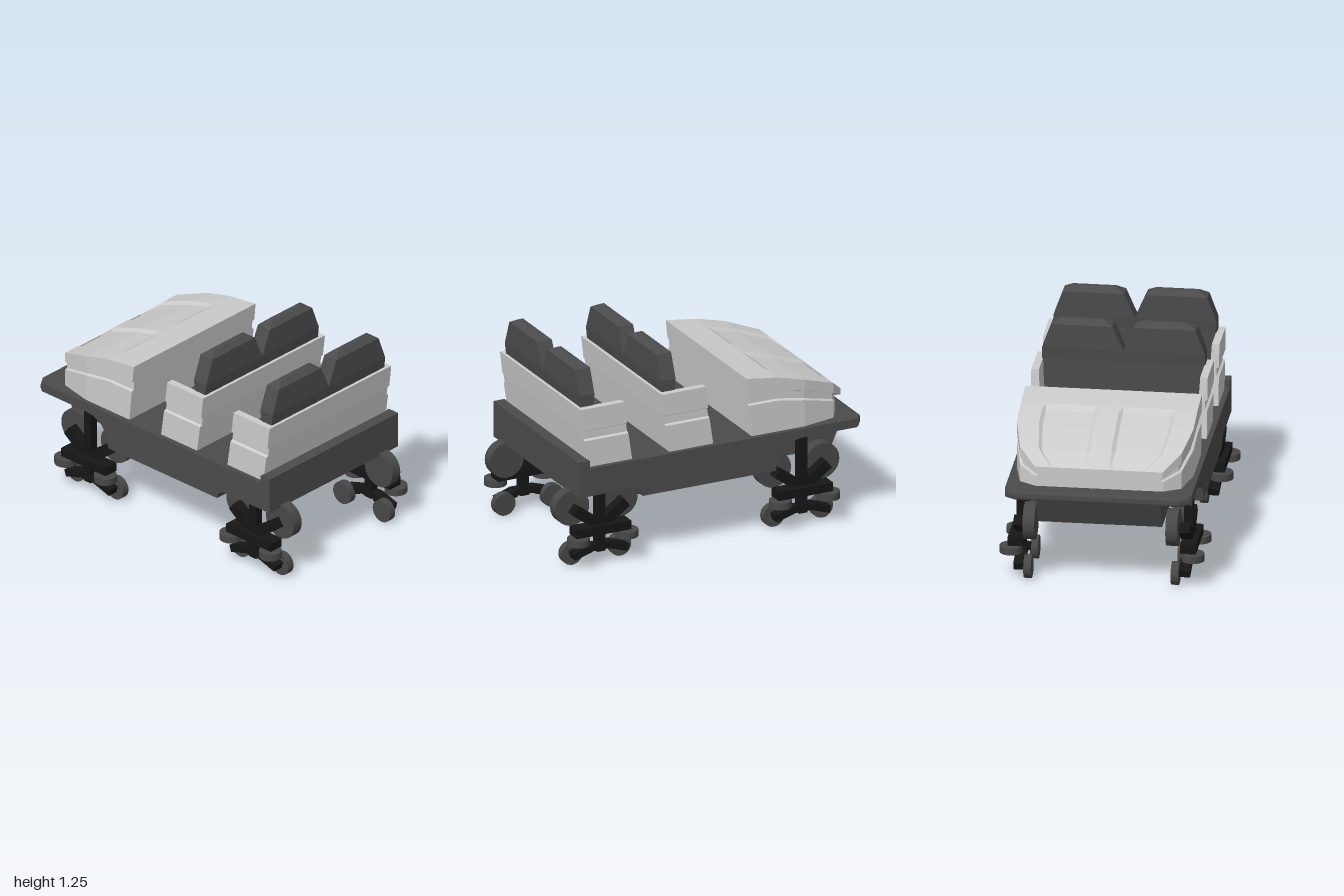
import * as THREE from 'three';

const mat = (color) => new THREE.MeshStandardMaterial({ color, flatShading: true });
const light = mat(0xcccccc);
light.side = THREE.DoubleSide;
const dark = mat(0x4b4b4b), black = mat(0x161616);
const tyre = new THREE.MeshStandardMaterial({ color: 0x484848 });

function add(parent, name, geometry, material) {
  const m = new THREE.Mesh(geometry, material);
  m.name = name;
  parent.add(m);
  return m;
}
function box(x0, x1, y0, y1, z0, z1) {
  return new THREE.BoxGeometry(x1 - x0, y1 - y0, z1 - z0)
    .translate((x0 + x1) / 2, (y0 + y1) / 2, (z0 + z1) / 2);
}
const shapeOf = (pts) => new THREE.Shape(pts.map(([a, b]) => new THREE.Vector2(a, b)));

// Side profile (x, y) extruded across the width
function across(pts, width) {
  return new THREE.ExtrudeGeometry(shapeOf(pts), { depth: width, bevelEnabled: false })
    .translate(0, 0, -width / 2);
}
// End profile (z, y) extruded from x0 to x1
function along(pts, x0, x1) {
  return new THREE.ExtrudeGeometry(shapeOf(pts.map(([z, y]) => [-z, y])), { depth: x1 - x0, bevelEnabled: false })
    .rotateY(Math.PI / 2).translate(x0, 0, 0);
}
function warp(geometry, rule) {
  const p = geometry.attributes.position, v = new THREE.Vector3();
  for (let i = 0; i < p.count; i++) {
    rule(v.fromBufferAttribute(p, i));
    p.setXYZ(i, v.x, v.y, v.z);
  }
  geometry.computeVertexNormals();
  return geometry;
}
// Block between two levels, each given as [y, x0, x1, z0, z1]
function taper([ya, ax0, ax1, az0, az1], [yb, bx0, bx1, bz0, bz1]) {
  return warp(new THREE.BoxGeometry(1, 1, 1), (v) => {
    const top = v.y > 0, back = v.x > 0, out = v.z > 0;
    if (top) v.set(back ? bx1 : bx0, yb, out ? bz1 : bz0);
    else v.set(back ? ax1 : ax0, ya, out ? az1 : az0);
  });
}
// Surface through rows of points
function grid(rows) {
  const n = rows[0].length, index = [];
  for (let i = 0; i < rows.length - 1; i++) for (let j = 0; j < n - 1; j++) {
    const a = i * n + j, b = a + n;
    index.push(a, a + 1, b + 1, a, b + 1, b);
  }
  const g = new THREE.BufferGeometry();
  g.setAttribute('position', new THREE.Float32BufferAttribute(rows.flat(2), 3));
  g.setIndex(index);
  g.computeVertexNormals();
  return g;
}

function makeChassis() {
  const g = new THREE.Group();
  g.name = 'chassis';
  // Deck and side skirts with wheel cut-outs
  add(g, 'deckAndSkirts', across([[-0.95, 0.63], [-0.95, 0.575], [-0.6, 0.575], [-0.53, 0.567], [-0.47, 0.535],
    [-0.43, 0.485], [-0.41, 0.395], [0.47, 0.395], [0.48, 0.43], [0.52, 0.455], [0.893, 0.455], [0.893, 0.63]], 1.11), dark);
  add(g, 'frontUnderbody', across([[-0.945, 0.6], [-0.945, 0.57], [-0.868, 0.397], [-0.4, 0.397], [-0.4, 0.6]], 0.74), dark);
  add(g, 'rearLip', box(0.82, 0.893, 0.62, 0.68, -0.555, 0.555), dark);
  // Bumper, chamfered in plan and section
  const plan = [[-0.93, 0.538], [-0.955, 0.535], [-0.985, 0.49], [-0.985, -0.49], [-0.955, -0.535], [-0.93, -0.538]];
  add(g, 'bumper', new THREE.ExtrudeGeometry(shapeOf(plan),
    { depth: 0.025, bevelSize: 0.015, bevelThickness: 0.015, bevelSegments: 2 })
    .rotateX(Math.PI / 2).translate(0, 0.614, 0), dark);
  // Belly pan tapering downwards
  add(g, 'bellyPan', taper([0.24, -0.285, 0.435, -0.17, 0.17], [0.335, -0.38, 0.53, -0.28, 0.28]), dark);
  add(g, 'bellyBase', box(-0.38, 0.53, 0.335, 0.46, -0.28, 0.28), dark);
  return g;
}

function makeHood() {
  const g = new THREE.Group();
  g.name = 'hood';
  // x, half width, top, groove bottom, groove top, recess outer edge, recess depth
  const stations = [
    [-0.232, 0.525, 1.0, 0.825, 0.885, 0.373, 0],
    [-0.43, 0.525, 0.973, 0.825, 0.884, 0.373, 0],
    [-0.475, 0.525, 0.963, 0.82, 0.88, 0.373, 0.018],
    [-0.62, 0.525, 0.925, 0.795, 0.852, 0.373, 0.018],
    [-0.83, 0.48, 0.85, 0.735, 0.78, 0.35, 0.018],
    [-0.927, 0.38, 0.765, 0.69, 0.72, 0.265, 0.008],
  ];
  const wall = ([x, w, t, gb, gt], i, side) => {
    const slant = (y) => i === 0 ? (y - 1) * 0.095 : i === 5 && y <= gt ? 0.035 : 0;
    return [[0.625, 0], [gb, 0], [gb + 0.008, 1], [gt, 1], [gt + 0.006, 0], [t, 0]]
      .map(([y, d]) => [x + slant(y), y, side * (w - d * 0.016)]);
  };
  const left = stations.map((s, i) => wall(s, i, 1));
  const right = stations.map((s, i) => wall(s, i, -1));
  add(g, 'hoodSides', grid([...left, ...right.slice().reverse()]), light);
  add(g, 'hoodBack', grid([right[0], left[0]]), light);
  // Top with two shallow recesses
  add(g, 'hoodTop', grid(stations.map(([x, w, t, , , o, d]) => {
    const half = [[w, 0], [o + 0.02, 0], [o, d], [0.085, d], [0.063, 0]];
    return [...half, ...half.map(([z, e]) => [-z, e]).reverse()].map(([z, e]) => [x, t - e, z]);
  })), light);
  return g;
}

function makeSeatRow() {
  const g = new THREE.Group();
  g.name = 'seatRow';
  // Lean backwards with height, more gently above the groove
  const lean = (v) => { v.x += (Math.min(v.y, 0.86) - 0.63) * 0.146 + Math.max(v.y - 0.86, 0) * 0.115; };
  const side = [[0.525, 0.625], [0.525, 0.797], [0.51, 0.806], [0.51, 0.855], [0.525, 0.863], [0.525, 1]];
  const mirrored = side.map(([z, y]) => [-z, y]).reverse();
  add(g, 'seatShell', warp(along([...side, ...mirrored], 0.235, 0.276), lean), light);
  add(g, 'leftArm', warp(along([...side, [0.48, 1], [0.46, 0.625]], -0.015, 0.24), lean), light);
  add(g, 'rightArm', warp(along([...mirrored, [-0.46, 0.625], [-0.48, 1]], -0.015, 0.24), lean), light);
  add(g, 'cushion', warp(box(-0.022, 0.22, 0.625, 0.7, -0.465, 0.465), lean), dark);
  add(g, 'backrest', box(0.218, 0.262, 0.625, 0.998, -0.475, 0.475), dark);
  // Twin headrests with a V between them
  add(g, 'headrestBase', taper([0.98, 0.224, 0.304, -0.485, 0.485], [1.07, 0.214, 0.314, -0.485, 0.485]), dark);
  for (const s of [-1, 1]) {
    const level = (y, x0, x1, a, b) => [y, x0, x1, Math.min(s * a, s * b), Math.max(s * a, s * b)];
    const shoulder = level(1.22, 0.216, 0.312, 0.065, 0.43);
    add(g, 'headrest', taper(level(1.07, 0.214, 0.314, 0, 0.485), shoulder), dark);
    add(g, 'headrestTop', taper(shoulder, level(1.25, 0.25, 0.278, 0.12, 0.375)), dark);
  }
  return g;
}

function makeBogie(x, postTop) {
  const g = new THREE.Group();
  g.name = 'wheelBogie';
  const beam = (name, x0, y0, x1, y1, h, z0, z1) => {
    const b = add(g, name, new THREE.BoxGeometry(Math.hypot(x1 - x0, y1 - y0), h, z1 - z0), black);
    b.position.set((x0 + x1) / 2, (y0 + y1) / 2, (z0 + z1) / 2);
    b.rotation.z = Math.atan2(y1 - y0, x1 - x0);
  };
  const wheel = (name, r, width, px, y, z, flat) => {
    const w = add(g, name, new THREE.CylinderGeometry(r, r, width, 28), tyre);
    w.position.set(px, y, z);
    if (!flat) w.rotation.x = Math.PI / 2;
  };
  add(g, 'post', box(-0.027, 0.027, 0.08, postTop, 0.47, 0.525), black);
  add(g, 'crossBar', box(-0.18, 0.18, 0.2, 0.255, 0.465, 0.56), black);
  add(g, 'upperHub', box(-0.07, 0.07, 0.25, 0.3, 0.465, 0.525), black);
  add(g, 'lowerHub', box(-0.07, 0.07, 0.09, 0.13, 0.465, 0.525), black);
  for (const s of [-1, 1]) {
    beam('upperArm', s * 0.05, 0.275, s * 0.17, 0.363, 0.065, 0.46, 0.525);
    beam('lowerArm', s * 0.06, 0.11, s * 0.18, 0.072, 0.045, 0.455, 0.525);
    wheel('runningWheel', 0.112, 0.07, s * 0.16, 0.361, 0.425);
    wheel('sideWheel', 0.068, 0.043, s * 0.16, 0.179, 0.541, true);
    wheel('underWheel', 0.07, 0.045, s * 0.16, 0.07, 0.438);
  }
  g.position.x = x;
  return g;
}

export function createModel() {
  const car = new THREE.Group();
  car.name = 'coasterCar';
  car.add(makeChassis(), makeHood());
  for (const x of [0.003, 0.54]) {
    const row = makeSeatRow();
    row.position.x = x;
    car.add(row);
  }
  // Front and rear bogies, the far side turned half round
  for (const [x, top] of [[-0.608, 0.577], [0.728, 0.46]]) for (const turn of [0, Math.PI]) {
    const b = makeBogie(x, top);
    b.rotation.y = turn;
    car.add(b);
  }
  return car;
}
